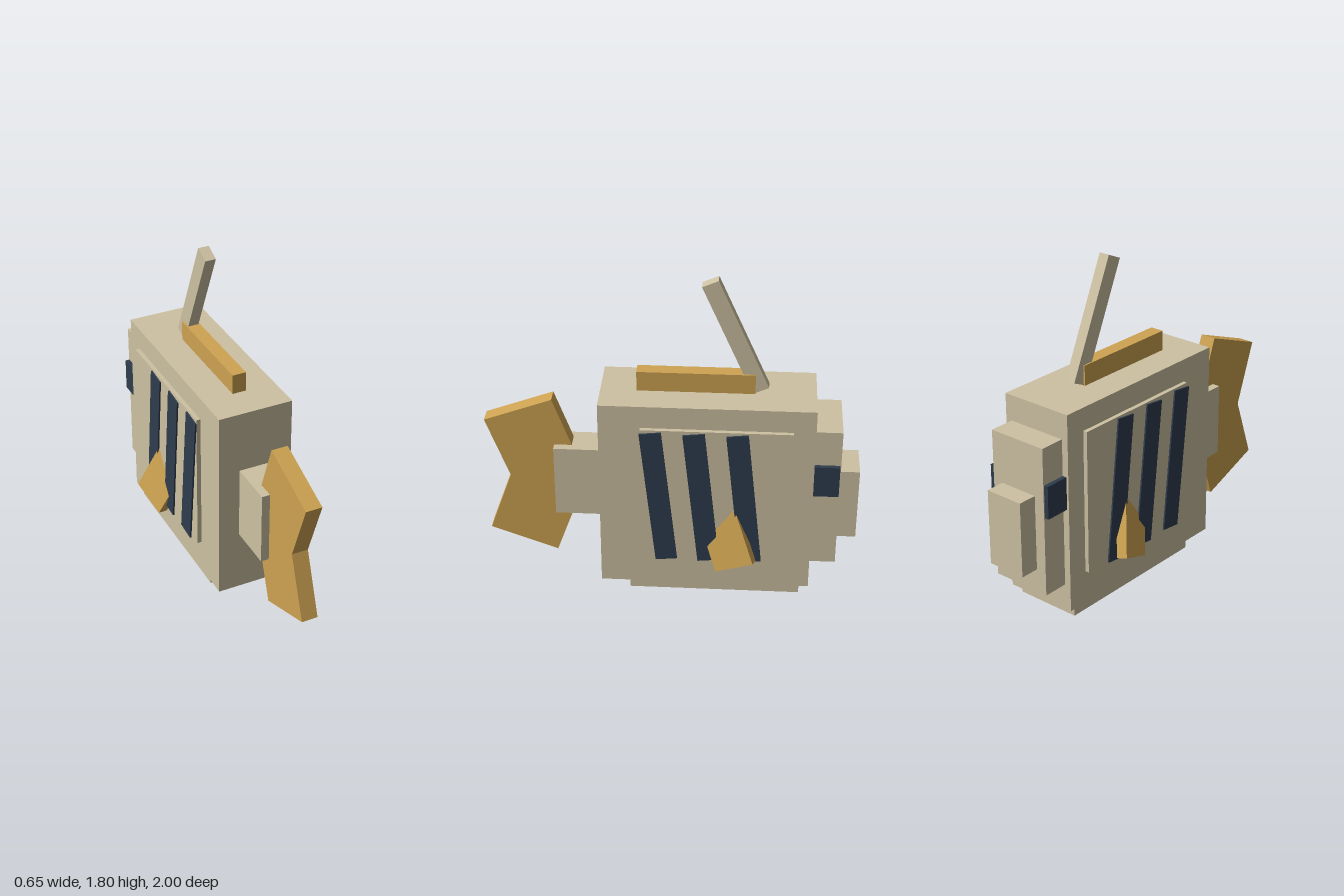
import * as THREE from 'three';

const mat = (name, color) => {
  const m = new THREE.MeshStandardMaterial({ color });
  m.name = name;
  return m;
};

export function createModel() {
  const tan = mat('tan', 0xcdc1a2);
  const gold = mat('gold', 0xcea352);
  const navy = mat('navy', 0x2e3c4d);
  const fish = new THREE.Group();
  fish.name = 'fish';

  const add = (name, geometry, material) => {
    const mesh = new THREE.Mesh(geometry, material);
    mesh.name = name;
    fish.add(mesh);
    return mesh;
  };
  // Box given by its half width and its y and z ranges, optionally off centre
  const block = (name, material, halfX, y0, y1, z0, z1, x = 0) => {
    const mesh = add(name, new THREE.BoxGeometry(halfX * 2, y1 - y0, z1 - z0), material);
    mesh.position.set(x, (y0 + y1) / 2, (z0 + z1) / 2);
    return mesh;
  };

  // Body and head, facing -z
  block('body', tan, 0.207, 0.06, 1.165, -0.755, 0.375);
  block('belly', tan, 0.185, 0, 0.06, -0.705, 0.22);
  block('head', tan, 0.17, 0.205, 1.025, -0.895, -0.755);
  block('snout', tan, 0.11, 0.335, 0.75, -1, -0.895);
  block('tailBase', tan, 0.09, 0.41, 0.82, 0.375, 0.63);
  block('dorsalFin', gold, 0.038, 1.165, 1.275, -0.435, 0.185);

  // Leaning lure rod on the back
  const rod = add('lureRod', new THREE.BoxGeometry(0.06, 0.663, 0.092), tan);
  rod.position.set(0, 1.483, -0.328);
  rod.rotation.x = 0.42;

  // Notched tail fin, drawn in (z, y) and turned to stand along z
  const tailShape = new THREE.Shape([
    [0.875, 0.615], [1, 0.96], [0.635, 1.095], [0.51, 0.75],
    [0.51, 0.48], [0.635, 0.135], [1, 0.27],
  ].map(([z, y]) => new THREE.Vector2(z, y)));
  const tailGeo = new THREE.ExtrudeGeometry(tailShape, { depth: 0.09, bevelEnabled: false });
  tailGeo.translate(0, 0, -0.045).rotateY(-Math.PI / 2);
  add('tailFin', tailGeo, gold);

  for (const s of [1, -1]) {
    const side = s > 0 ? 'left' : 'right';
    block(side + 'Flank', tan, 0.0125, 0.245, 1.04, -0.64, 0.155, s * 0.218);
    block(side + 'Eye', navy, 0.0125, 0.645, 0.825, -0.89, -0.755, s * 0.182);

    // Slanted stripes
    for (let i = 0; i < 3; i++) {
      const stripe = block(side + 'Stripe' + i, navy, 0.0045, 0.2325, 1.0275, -0.058, 0.058, s * 0.2355);
      stripe.position.z = 0.06 - i * 0.2265;
      stripe.rotation.x = 0.107;
    }

    // Splayed side fin: its length runs up into the body
    const up = new THREE.Vector3(-0.288 * s, 0.901, 0.324).normalize();
    const wide = new THREE.Vector3(-0.19 * s, -0.37, 0.91);
    wide.addScaledVector(up, -wide.dot(up)).normalize();
    const out = new THREE.Vector3().crossVectors(up, wide);
    const fin = add(side + 'Fin', new THREE.BoxGeometry(0.057, 0.42, 0.22), gold);
    fin.quaternion.setFromRotationMatrix(new THREE.Matrix4().makeBasis(out, up, wide));
    fin.position.set(0.276 * s, 0.23, -0.3575).addScaledVector(up, 0.21);
  }
  return fish;
}
